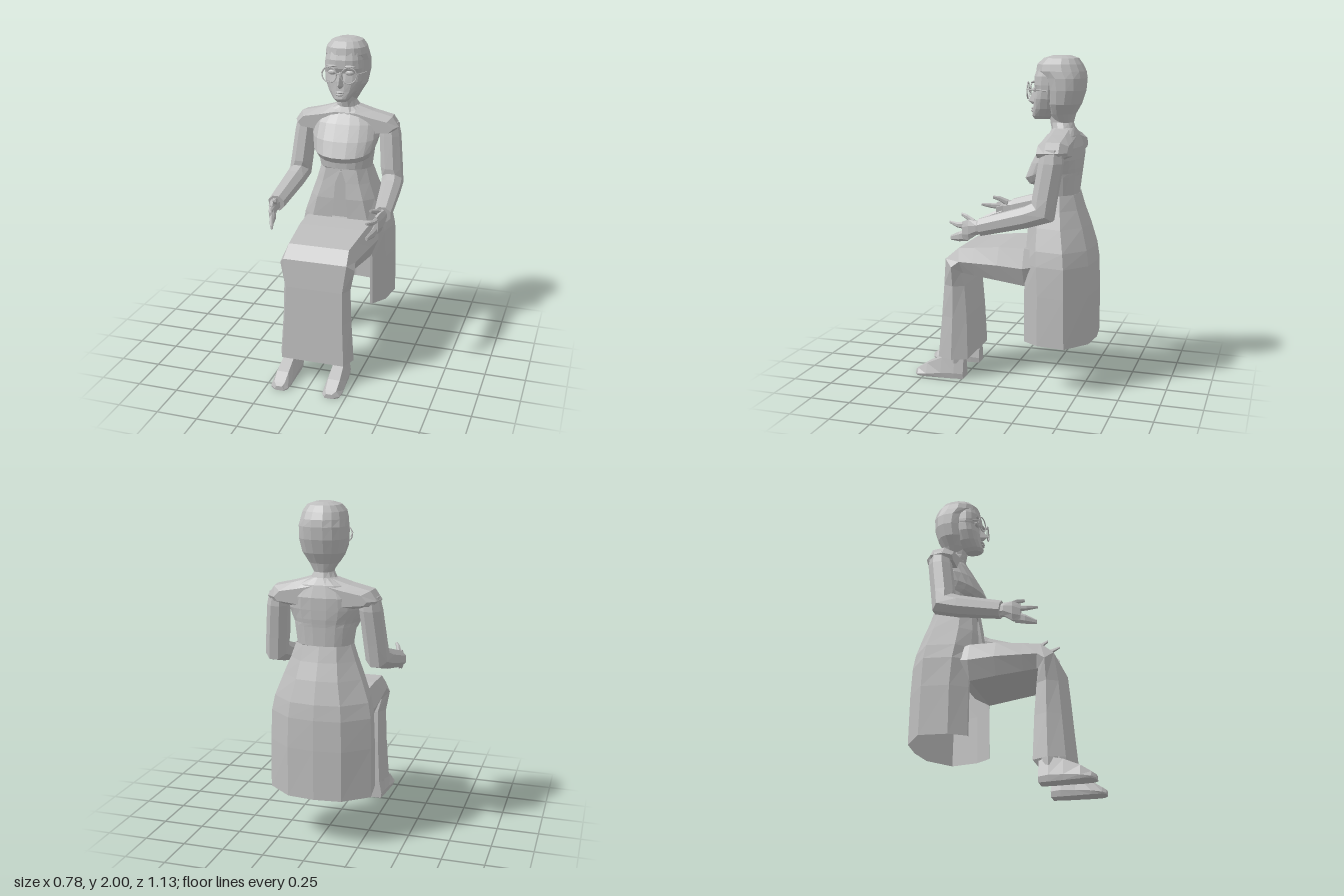
import * as THREE from 'three';

const grey = new THREE.MeshStandardMaterial({ color: 0xbdbdbd, flatShading: true, side: THREE.DoubleSide });
grey.name = 'plain grey';

// Rounded-square outline of unit size
const oval = (n, p = 2) => Array.from({ length: n }, (_, i) => {
  const t = (i + 0.5) / n * Math.PI * 2, c = Math.cos(t), s = Math.sin(t);
  return [Math.sign(c) * Math.abs(c) ** (2 / p), Math.sign(s) * Math.abs(s) ** (2 / p)];
});

// Skin over rows of points; closed rows wrap round and may be capped
function skin(rows, closed, caps) {
  const n = rows[0].length, pos = rows.flat(2), idx = [];
  for (let r = 0; r + 1 < rows.length; r++) {
    for (let i = 0; i < (closed ? n : n - 1); i++) {
      const a = r * n + i, b = r * n + (i + 1) % n;
      idx.push(a, b, b + n, a, b + n, a + n);
    }
  }
  if (caps) {
    const last = (rows.length - 1) * n;
    for (let i = 1; i < n - 1; i++) idx.push(0, i + 1, i, last, last + i, last + i + 1);
  }
  const g = new THREE.BufferGeometry();
  g.setAttribute('position', new THREE.Float32BufferAttribute(pos, 3));
  g.setIndex(idx);
  g.computeVertexNormals();
  return g;
}

// Rings [x, y, z, halfWidth, halfDepth, tilt, sag]: tilt 0 lies flat, PI/2 stands upright
function loft(shape, rings, caps = true) {
  return skin(rings.map(([x, y, z, w, d, a = 0, sag = 0]) => shape.map(([u, v]) => [
    x + u * w,
    y + v * d * Math.sin(a) - sag * Math.max(0, v),
    z + v * d * Math.cos(a),
  ])), true, caps);
}

// Flat rings given as [y, front z, back z, halfWidth, sag]
const stack = (shape, list, caps) =>
  loft(shape, list.map(([y, f, b, w, sag]) => [0, y, (f + b) / 2, w, (f - b) / 2, 0, sag]), caps);

export function createModel() {
  const model = new THREE.Group();
  const UP = Math.PI / 2;
  const add = (name, geo, parent = model) => {
    const m = new THREE.Mesh(geo, grey);
    m.name = name;
    parent.add(m);
    return m;
  };
  const ball = (name, x, y, z, sx, sy, sz, parent) => {
    const m = add(name, new THREE.SphereGeometry(1, 10, 6), parent);
    m.position.set(x, y, z);
    m.scale.set(sx, sy, sz);
  };

  // Head, hair and neck
  add('face', stack(oval(16, 2.4), [
    [1.95, -0.19, -0.35, 0.1], [1.88, -0.166, -0.35, 0.118], [1.83, -0.165, -0.34, 0.121],
    [1.8, -0.178, -0.33, 0.12], [1.75, -0.165, -0.33, 0.115], [1.69, -0.157, -0.32, 0.09],
    [1.645, -0.148, -0.29, 0.055], [1.626, -0.16, -0.26, 0.035]]));
  add('hair', stack(oval(16, 2.3), [
    [2.0, -0.27, -0.38, 0.05], [1.985, -0.22, -0.425, 0.095], [1.95, -0.182, -0.45, 0.123],
    [1.91, -0.175, -0.47, 0.133], [1.87, -0.222, -0.476, 0.138], [1.8, -0.24, -0.47, 0.137],
    [1.72, -0.245, -0.445, 0.122], [1.66, -0.26, -0.412, 0.085], [1.61, -0.29, -0.4, 0.055]]));
  add('neck', stack(oval(12), [
    [1.68, -0.25, -0.4, 0.058], [1.61, -0.26, -0.4, 0.057], [1.57, -0.27, -0.415, 0.08], [1.53, -0.25, -0.43, 0.13]]));
  add('nose', skin([
    [[0.01, 1.81, -0.175], [0, 1.81, -0.16], [-0.01, 1.81, -0.175]],
    [[0.022, 1.725, -0.165], [0, 1.732, -0.12], [-0.022, 1.725, -0.165]],
    [[0.01, 1.71, -0.165], [0, 1.712, -0.145], [-0.01, 1.71, -0.165]]], true, true));
  ball('upperLip', 0, 1.688, -0.153, 0.03, 0.008, 0.012);
  ball('lowerLip', 0, 1.673, -0.152, 0.024, 0.009, 0.012);

  // Torso, with the bust sagging at the front
  add('torso', stack(oval(20, 2.4), [
    [1.58, -0.28, -0.41, 0.07], [1.54, -0.262, -0.43, 0.16], [1.47, -0.215, -0.45, 0.21],
    [1.4, -0.16, -0.45, 0.215, 0.03], [1.345, -0.12, -0.448, 0.2, 0.07],
    [1.32, -0.145, -0.445, 0.187, 0.08], [1.3, -0.185, -0.443, 0.18, 0.07],
    [1.19, -0.188, -0.44, 0.165]]));
  const half = [[0.336, -0.01], [0.295, 0.05], [0.17, 0.08], [0.07, 0.11]];
  const low = [[0.15, -0.07], [0.31, -0.045]];
  const flip = (pts) => pts.map(([x, y]) => [-x, y]).reverse();
  add('shoulders', loft([...half, ...flip(half), ...flip(low), ...low], [
    [0, 1.465, -0.43, 0.82, 0.6, UP], [0, 1.47, -0.39, 0.97, 0.95, UP],
    [0, 1.47, -0.31, 1, 1, UP], [0, 1.46, -0.255, 0.92, 0.7, UP]]));

  // Long coat, open at the front below the lap; half outline runs from front edge to back centre
  const coat = [
    [1.19, 0, -0.188, 0.1, -0.19, 0.15, -0.25, 0.165, -0.36, 0.1, -0.43, -0.44],
    [1.1, 0.035, -0.175, 0.12, -0.18, 0.175, -0.24, 0.196, -0.37, 0.11, -0.455, -0.468],
    [1, 0.04, -0.16, 0.15, -0.165, 0.21, -0.235, 0.237, -0.385, 0.125, -0.49, -0.505],
    [0.87, 0.05, -0.16, 0.18, -0.163, 0.255, -0.24, 0.285, -0.41, 0.15, -0.525, -0.543],
    [0.78, 0.18, -0.16, 0.21, -0.163, 0.275, -0.25, 0.302, -0.42, 0.158, -0.538, -0.556],
    [0.6, 0.205, -0.16, 0.22, -0.163, 0.285, -0.26, 0.308, -0.425, 0.162, -0.545, -0.562],
    [0.3, 0.21, -0.16, 0.225, -0.163, 0.288, -0.26, 0.31, -0.43, 0.162, -0.547, -0.565]];
  add('coat', skin(coat.map(([y, ...p]) => {
    const side = [0, 2, 4, 6, 8].map((i) => [p[i], y, p[i + 1]]);
    return [...side.map(([x, h, z]) => [-x, h, z]), [0, y, p[10]], ...side.reverse()];
  }), false, false));
  add('coatSlitLining', new THREE.BoxGeometry(0.12, 0.34, 0.01)).position.set(0, 1.0, -0.205);

  // Skirt over thighs, knees and shins as one bent tube
  const skirtShape = [[1, 0], [0.84, 1], [-0.84, 1], [-1, 0], [-0.82, -1], [0.82, -1]];
  add('skirt', loft(skirtShape, [
    [0, 0.775, -0.25, 0.235, 0.085, UP], [0, 0.757, -0.16, 0.258, 0.116, UP],
    [0, 0.765, 0, 0.25, 0.105, UP], [0, 0.764, 0.16, 0.235, 0.088, UP],
    [0, 0.763, 0.252, 0.225, 0.079, 1.4], [0, 0.728, 0.298, 0.235, 0.064, 0.73],
    [0, 0.6, 0.3, 0.21, 0.065], [0, 0.4, 0.3, 0.217, 0.08], [0, 0.135, 0.306, 0.235, 0.095]], false));

  // Parts made once and mirrored
  const arm8 = oval(8), finger = oval(6);
  const footShape = [[1, -0.5], [0.6, 1], [-0.6, 1], [-1, -0.5], [-0.9, -1], [0.9, -1]];
  for (const s of [1, -1]) {
    const side = new THREE.Group();
    side.name = s > 0 ? 'leftSide' : 'rightSide';
    side.scale.x = s;
    model.add(side);

    add('arm', loft(arm8, [
      [0.27, 1.48, -0.342, 0.058, 0.065], [0.278, 1.4, -0.338, 0.068, 0.075],
      [0.298, 1.2, -0.308, 0.07, 0.076], [0.308, 1.12, -0.3, 0.069, 0.085, 0.69],
      [0.318, 1.085, -0.2, 0.066, 0.066, 1.4], [0.34, 1.015, 0.07, 0.054, 0.054, 1.4]]), side);
    add('palm', loft(arm8, [
      [0.338, 1.01, 0.05, 0.028, 0.036, UP], [0.344, 1.01, 0.09, 0.026, 0.045, UP],
      [0.342, 0.995, 0.14, 0.023, 0.066, UP], [0.328, 0.985, 0.185, 0.017, 0.058, UP]]), side);
    add('fingers', loft(finger, [
      [0.33, 0.963, 0.15, 0.018, 0.038, UP], [0.32, 0.945, 0.21, 0.015, 0.03, UP],
      [0.296, 0.93, 0.272, 0.008, 0.014, UP]]), side);
    add('indexFinger', loft(finger, [
      [0.332, 1.015, 0.16, 0.016, 0.022, UP], [0.322, 1.015, 0.22, 0.013, 0.016, UP],
      [0.296, 1.025, 0.278, 0.007, 0.008, UP]]), side);
    add('thumb', loft(finger, [
      [0.335, 1.035, 0.11, 0.018, 0.025, UP], [0.318, 1.065, 0.16, 0.014, 0.017, UP],
      [0.298, 1.077, 0.2, 0.008, 0.01, UP]]), side);

    add('foot', loft(footShape, [
      [0.155, 0.066, 0.242, 0.045, 0.064, UP], [0.157, 0.075, 0.3, 0.052, 0.074, UP],
      [0.16, 0.064, 0.385, 0.055, 0.063, UP], [0.163, 0.042, 0.48, 0.061, 0.041, UP],
      [0.163, 0.022, 0.54, 0.055, 0.021, UP], [0.157, 0.015, 0.563, 0.03, 0.014, UP]]), side);
    add('ankle', new THREE.CylinderGeometry(0.05, 0.046, 0.2, 8), side).position.set(0.155, 0.2, 0.3);

    // Eye, brow and round spectacles
    ball('eye', 0.055, 1.805, -0.178, 0.028, 0.015, 0.014, side);
    ball('brow', 0.058, 1.846, -0.168, 0.036, 0.007, 0.01, side);
    const rim = add('spectacleRim', new THREE.TorusGeometry(0.048, 0.004, 6, 20), side);
    rim.position.set(0.062, 1.797, -0.137);
    rim.rotation.y = 0.15;
    const temple = new THREE.LineCurve3(new THREE.Vector3(0.11, 1.805, -0.143), new THREE.Vector3(0.137, 1.8, -0.27));
    add('spectacleTemple', new THREE.TubeGeometry(temple, 1, 0.004, 6), side);
  }
  add('spectacleBridge', new THREE.BoxGeometry(0.032, 0.007, 0.007)).position.set(0, 1.803, -0.131);

  return model;
}
